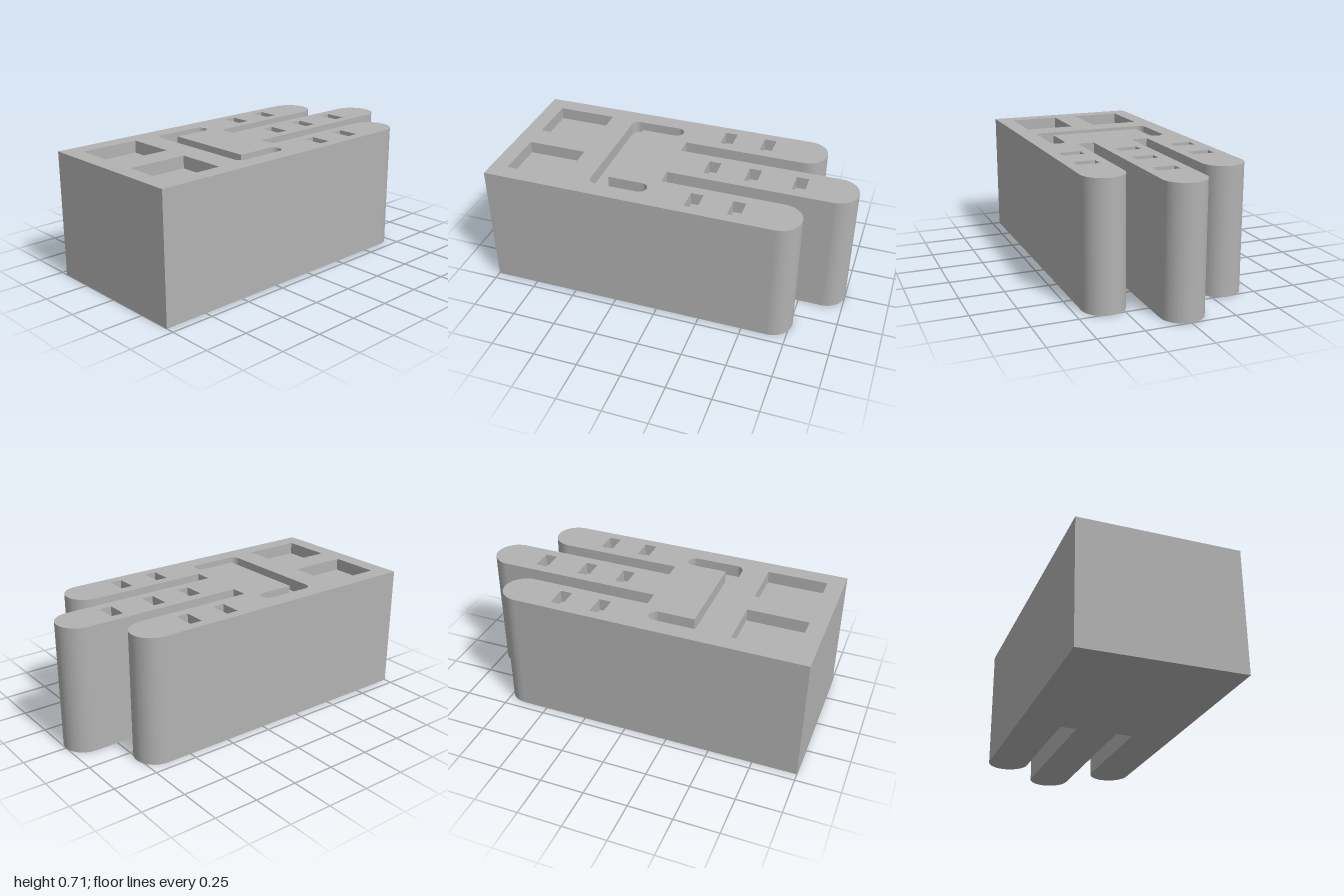
import * as THREE from 'three';
import { toCreasedNormals } from 'three/addons/utils/BufferGeometryUtils.js';

const HEIGHT = 0.715, DEPTH = 0.07;   // block height, recess depth
const HALF = 0.4525;                  // half width of the block
const R = 0.119;                      // fingertip radius
const SIDE = HALF - R;                // centre line of the outer fingers

// Plans are drawn in (x, -z) and laid flat afterwards.
function planPoints(path, clockwise) {
  const pts = path.getPoints(24).filter((p, i, a) => p.distanceTo(a[(i + 1) % a.length]) > 1e-5);
  if (THREE.ShapeUtils.isClockWise(pts) !== clockwise) pts.reverse();
  return pts;
}

// Vertical band around a closed plan: counter-clockwise faces out, clockwise faces in.
function wall(pts, y0, y1) {
  const pos = [];
  pts.forEach((a, i) => {
    const b = pts[(i + 1) % pts.length];
    pos.push(a.x, y0, -a.y, b.x, y0, -b.y, b.x, y1, -b.y);
    pos.push(a.x, y0, -a.y, b.x, y1, -b.y, a.x, y1, -a.y);
  });
  const g = new THREE.BufferGeometry();
  g.setAttribute('position', new THREE.Float32BufferAttribute(pos, 3));
  return toCreasedNormals(g, Math.PI / 6);
}

// Flat face at height y, facing up or down.
function cap(pts, y, holes = [], down = false) {
  const shape = new THREE.Shape(pts);
  shape.holes = holes.map((h) => new THREE.Path(h));
  const g = new THREE.ShapeGeometry(shape);
  if (down) {
    const idx = g.index.array;
    for (let i = 0; i < idx.length; i += 3) [idx[i], idx[i + 1]] = [idx[i + 1], idx[i]];
    g.computeVertexNormals();
  }
  return g.rotateX(-Math.PI / 2).translate(0, y, 0);
}

// Rectangle plan from its centre and size
function rect(x, z, w, d) {
  return new THREE.Path()
    .moveTo(x - w / 2, -z - d / 2).lineTo(x + w / 2, -z - d / 2)
    .lineTo(x + w / 2, -z + d / 2).lineTo(x - w / 2, -z + d / 2);
}

export function createModel() {
  const model = new THREE.Group();
  const gray = new THREE.MeshStandardMaterial({ color: 0xb2b2b2 });
  gray.name = 'gray';
  const add = (parent, name, geometry) => {
    const mesh = new THREE.Mesh(geometry, gray);
    mesh.name = name;
    parent.add(mesh);
  };

  // Block outline with three round-ended fingers
  const outline = new THREE.Path();
  outline.moveTo(-HALF, -1).lineTo(HALF, -1).lineTo(HALF, 0.645);
  outline.absarc(SIDE, 0.645, R, 0, Math.PI);
  outline.lineTo(SIDE - R, -0.045).lineTo(R, -0.045).lineTo(R, 1 - R);
  outline.absarc(0, 1 - R, R, 0, Math.PI);
  outline.lineTo(-R, -0.045).lineTo(R - SIDE, -0.045).lineTo(R - SIDE, 0.645);
  outline.absarc(-SIDE, 0.645, R, 0, Math.PI);

  // U-shaped groove with round ends and rounded outer corners
  const outer = 0.352, inner = 0.268, r = (outer - inner) / 2, mid = inner + r;
  const groove = new THREE.Path();
  groove.moveTo(0.307, -0.422);
  groove.absarc(outer - 0.045, -0.377, 0.045, -Math.PI / 2, 0);
  groove.absarc(mid, -0.094 - r, r, 0, Math.PI);
  groove.lineTo(inner, -0.335).lineTo(-inner, -0.335);
  groove.absarc(-mid, -0.094 - r, r, 0, Math.PI);
  groove.absarc(0.045 - outer, -0.377, 0.045, Math.PI, Math.PI * 1.5);

  // Recesses sunk into the top
  const recesses = [['groove', groove]];
  for (const s of [-1, 1]) recesses.push(['squarePocket', rect(s * 0.214, 0.735, 0.285, 0.34)]);
  for (const x of [-SIDE, 0, SIDE])
    for (const z of x === 0 ? [-0.18, -0.415, -0.68] : [-0.18, -0.415])
      recesses.push(['fingerSlot', rect(x, z, 0.124, 0.07)]);

  const holes = recesses.map(([, path]) => planPoints(path, true));
  const body = planPoints(outline, false);
  add(model, 'bodySides', wall(body, 0, HEIGHT));
  add(model, 'bodyTop', cap(body, HEIGHT, holes));
  add(model, 'bodyBottom', cap(body, 0, [], true));

  recesses.forEach(([name], i) => {
    const part = new THREE.Group();
    part.name = name;
    add(part, name + 'Walls', wall(holes[i], HEIGHT - DEPTH, HEIGHT));
    add(part, name + 'Floor', cap([...holes[i]].reverse(), HEIGHT - DEPTH));
    model.add(part);
  });
  return model;
}
